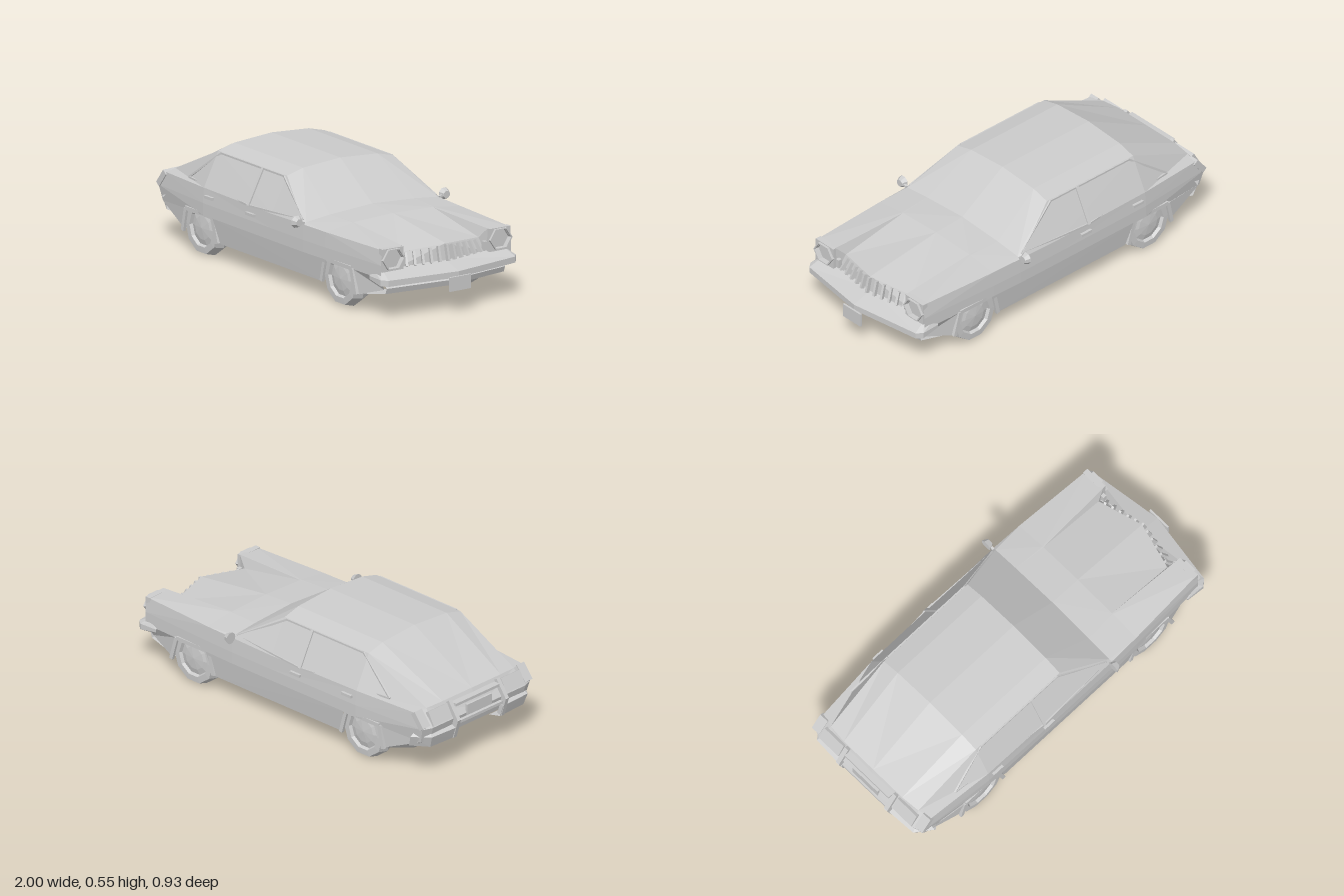
import * as THREE from 'three';

const grey = new THREE.MeshStandardMaterial({ color: 0xcccccc, flatShading: true, side: THREE.DoubleSide });

// Skin a grid of [x, y, z] points (rows by columns) on the left, mirrored to the right.
function loft(rows) {
  const pos = [];
  for (const s of [1, -1]) {
    const tri = (...p) => (s > 0 ? p : p.reverse()).forEach(([x, y, z]) => pos.push(x, y, z * s));
    for (let i = 0; i < rows.length - 1; i++) {
      for (let j = 0; j < rows[i].length - 1; j++) {
        const a = rows[i][j], b = rows[i + 1][j], c = rows[i + 1][j + 1], d = rows[i][j + 1];
        tri(a, d, c);
        tri(a, c, b);
      }
    }
  }
  const g = new THREE.BufferGeometry();
  g.setAttribute('position', new THREE.Float32BufferAttribute(pos, 3));
  g.computeVertexNormals();
  return g;
}

// Hexagon with points to the left and right.
function hexagon(Type, rx, ry) {
  const pts = [];
  for (let i = 0; i < 6; i++) pts.push(new THREE.Vector2(rx * Math.cos(i * Math.PI / 3), ry * Math.sin(i * Math.PI / 3) / 0.866));
  return new Type(pts);
}

export function createModel() {
  const car = new THREE.Group();
  const add = (name, geo, x = 0, y = 0, z = 0) => {
    const m = new THREE.Mesh(geo, grey);
    m.name = name;
    m.position.set(x, y, z);
    car.add(m);
    return m;
  };
  const box = (name, size, x, y, z) => add(name, new THREE.BoxGeometry(...size), x, y, z);
  // Straight square bar between two points
  const bar = (name, p, q, w, h = w) => {
    const a = new THREE.Vector3(...p), b = new THREE.Vector3(...q);
    const m = box(name, [w, h, a.distanceTo(b)], 0, 0, 0);
    m.position.copy(a).lerp(b, 0.5);
    m.lookAt(b);
  };

  // Body shell: columns run centre, roof or hood edge, shoulder, belt, waist, lower crease
  add('bodyShell', loft([
    [[-.92, .35, 0], [-.92, .35, .2], [-.91, .345, .3], [-.89, .34, .37], [-.95, .265, .37], [-.93, .19, .36]],
    [[-.54, .555, 0], [-.54, .54, .22], [-.54, .515, .315], [-.54, .345, .4], [-.54, .27, .407], [-.54, .21, .407]],
    [[.02, .555, 0], [.02, .54, .22], [.02, .515, .315], [.02, .34, .405], [.02, .27, .41], [.02, .21, .41]],
    [[.28, .385, 0], [.28, .37, .25], [.28, .355, .39], [.28, .345, .405], [.28, .27, .41], [.28, .21, .41]],
    [[.45, .375, 0], [.45, .367, .235], [.45, .367, .24], [.45, .345, .4], [.45, .27, .405], [.45, .21, .405]],
    [[.88, .32, 0], [.82, .3, .235], [.87, .35, .255], [.88, .345, .375], [.88, .27, .385], [.88, .205, .385]],
  ]));

  // Lower side panels between the wheel arches
  add('rearSill', loft([
    [[-.93, .19, .36], [-.86, .13, .34]],
    [[-.7, .207, .395], [-.72, .1, .385]],
  ]));
  add('middleSill', loft([
    [[-.46, .21, .407], [-.42, .09, .39]],
    [[.46, .21, .405], [.42, .09, .39]],
  ]));
  add('frontSill', loft([
    [[.67, .208, .395], [.7, .09, .385]],
    [[.88, .205, .385], [.86, .14, .35]],
  ]));

  // Tail: underside sweeping up into the rear face
  add('tailPanel', loft([
    [[-.72, .1, 0], [-.72, .1, .34], [-.72, .1, .385]],
    [[-.88, .14, 0], [-.88, .14, .31], [-.86, .13, .34]],
    [[-.95, .19, 0], [-.95, .19, .31], [-.93, .19, .36]],
    [[-.97, .265, 0], [-.97, .265, .32], [-.95, .265, .37]],
    [[-.92, .35, 0], [-.91, .345, .3], [-.89, .34, .37]],
  ]));
  add('rearBumper', loft([
    [[-.89, .143, .15], [-.89, .143, .31], [-.85, .15, .355]],
    [[-.965, .16, .15], [-.955, .16, .32], [-.87, .16, .38]],
    [[-.985, .22, .15], [-.975, .22, .33], [-.89, .215, .39]],
    [[-.955, .235, .15], [-.95, .235, .32], [-.89, .23, .37]],
  ]));

  // Nose: grille backing, inner fender walls, bumper and valance
  add('grilleBacking', loft([
    [[.87, .317, 0], [.815, .298, .24], [.87, .35, .255]],
    [[.88, .237, 0], [.845, .237, .25], [.87, .237, .258]],
  ]));
  add('frontBumper', loft([
    [[.87, .24, 0], [.86, .24, .36], [.84, .225, .385], [.8, .21, .39]],
    [[.985, .205, 0], [.93, .205, .375], [.9, .205, .4], [.8, .205, .395]],
    [[.985, .175, 0], [.93, .175, .375], [.9, .175, .4], [.8, .19, .395]],
    [[.9, .165, 0], [.87, .165, .33], [.85, .17, .37], [.8, .18, .385]],
  ]));
  add('frontValance', loft([
    [[.89, .168, 0], [.86, .168, .35]],
    [[.93, .15, 0], [.88, .15, .35]],
    [[.92, .122, 0], [.87, .122, .35]],
    [[.7, .09, 0], [.7, .09, .37]],
  ]));
  box('frontPlate', [.01, .07, .125], .995, .15, 0);

  // Grille slats lean outward toward the sides
  for (let i = -5; i <= 5; i++) {
    const k = Math.abs(i) / 5;
    bar('grilleSlat', [.882 - .05 * k, .315 - .02 * k, i * .041], [.9 - .035 * k, .237, i * .044], .012, .02);
  }

  // Tail plate frame
  for (const y of [.24, .325]) box('tailFrameRail', [.035, .014, .3], y > .3 ? -.945 : -.965, y, 0);
  box('rearPlate', [.012, .055, .17], -.968, .28, 0);

  const hole = hexagon(THREE.Path, .058, .045);
  const surround = new THREE.Shape([[-.062, -.057], [.062, -.057], [.062, .055], [-.062, .057]].map(p => new THREE.Vector2(...p)));
  surround.holes.push(hole);
  const rim = hexagon(THREE.Shape, .066, .05);
  rim.holes.push(hole);
  const plate = (shape, depth) => new THREE.ExtrudeGeometry(shape, { depth, bevelEnabled: false }).rotateY(Math.PI / 2);

  // Wheel profile: crowned tyre, recessed rim, domed hub
  const wheelGeo = new THREE.LatheGeometry(
    [[0, -.05], [.12, -.05], [.14, 0], [.127, .05], [.095, .052], [.088, .036], [.06, .044], [0, .05]].map(p => new THREE.Vector2(...p)),
    10, Math.PI / 10).rotateX(Math.PI / 2);

  for (const s of [1, -1]) {
    // Headlights
    add('headlightSurround', plate(surround, .03), .855, .293, s * .317);
    add('headlightRim', plate(rim, .015), .882, .295, s * .317);
    add('headlightLens', plate(hexagon(THREE.Shape, .058, .045), .01), .86, .295, s * .317);
    box('turnSignal', [.02, .045, .02], .86, .265, s * .243);

    // Tail lights and bumper uprights
    bar('tailLight', [-.928, .335, s * .25], [-.965, .27, s * .25], .13, .02);
    bar('tailLightCorner', [-.893, .34, s * .352], [-.95, .268, s * .352], .05, .03);
    bar('bumperUpright', [-.925, .34, s * .165], [-.985, .255, s * .165], .022, .03);
    bar('bumperUpright', [-.985, .265, s * .165], [-.955, .165, s * .165], .022, .03);

    // Window frame and centre pillar
    const frame = [[-.72, .352, .357], [-.51, .51, .318], [0, .51, .318], [.26, .36, .39], [-.17, .34, .405]];
    frame.forEach((p, i) => {
      const q = frame[(i + 1) % 5];
      bar('windowFrame', [p[0], p[1], s * p[2]], [q[0], q[1], s * q[2]], .009);
    });
    bar('windowPillar', [-.17, .512, s * .318], [-.17, .338, s * .407], .016, .012);

    // Door handles and mirror
    box('doorHandle', [.065, .014, .014], -.485, .308, s * .41);
    box('doorHandle', [.065, .014, .014], -.145, .302, s * .413);
    bar('mirrorStalk', [.275, .35, s * .4], [.275, .36, s * .43], .012);
    const mirror = add('mirror', new THREE.CylinderGeometry(.031, .019, .026, 8, 1).rotateZ(Math.PI / 2), .275, .36, s * .436);
    mirror.rotation.x = Math.PI / 8;

    // Wheels with arch trims and liners
    for (const x of [-.575, .555]) {
      const wheel = add('wheel', wheelGeo, x, .135, s * .34);
      if (s < 0) wheel.rotation.y = Math.PI;
      const arch = [[-.14, .095], [-.115, .212], [.105, .212], [.14, .09]].map(([dx, y]) => [x + dx, y]);
      for (let i = 0; i < 3; i++) {
        bar('archTrim', [...arch[i], s * .395], [...arch[i + 1], s * .395], .016, .02);
      }
    }
  }
  for (const x of [-.575, .555]) {
    const path = [[-.15, .1], [-.125, .22], [-.07, .28], [.07, .28], [.125, .22], [.15, .09]];
    add('archLiner', loft(path.map(([dx, y]) => [[x + dx, y, .28], [x + dx, y, .385]])));
  }
  return car;
}
